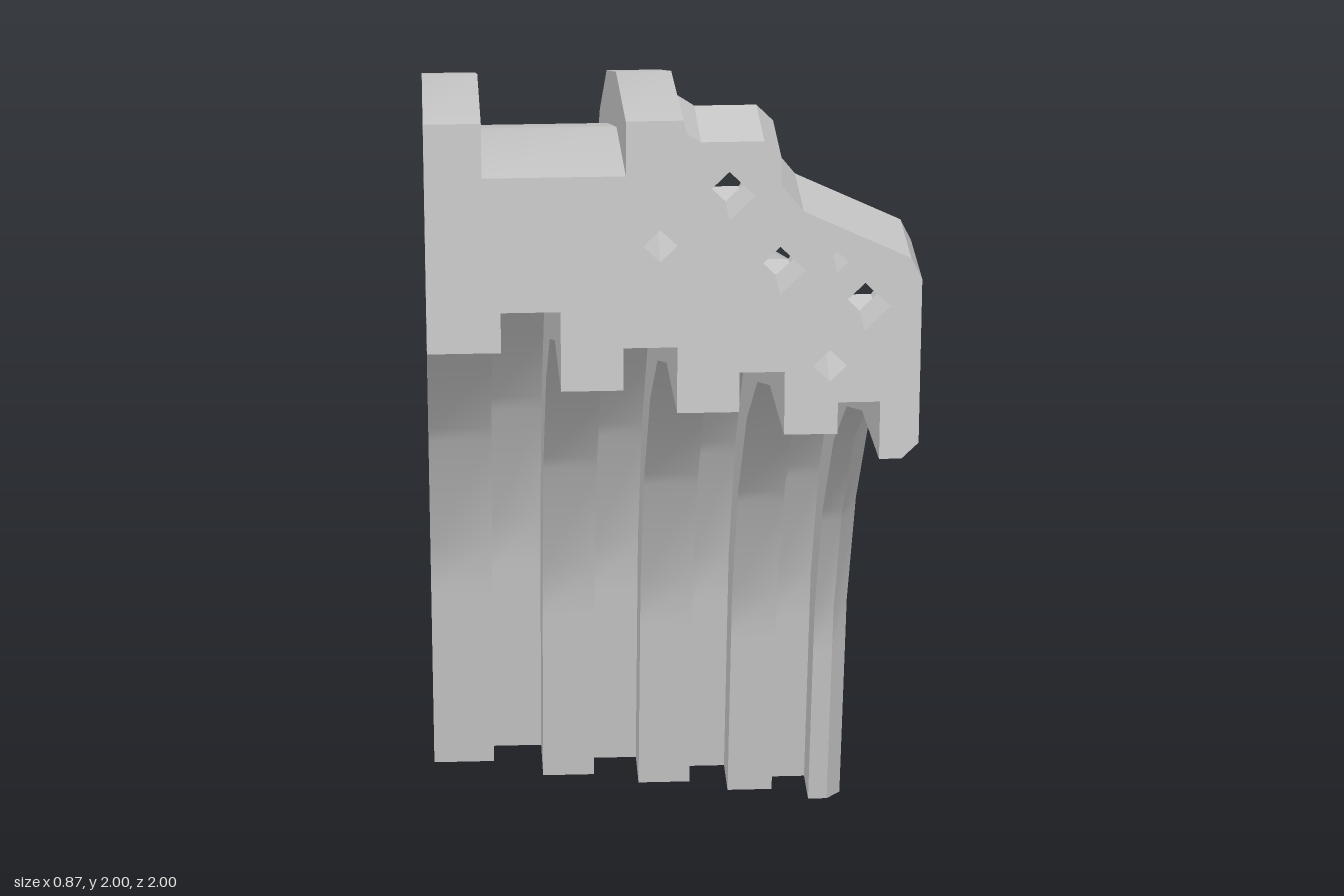
import * as THREE from 'three';
import { toCreasedNormals } from 'three/addons/utils/BufferGeometryUtils.js';

const mat = new THREE.MeshStandardMaterial({ color: 0xcccccc, side: THREE.DoubleSide });
const rad = THREE.MathUtils.degToRad;

function add(group, name, geometry) {
  const mesh = new THREE.Mesh(geometry, mat);
  mesh.name = name;
  group.add(mesh);
  return mesh;
}

const toShape = (pts) => new THREE.Shape(pts.map(([x, y]) => new THREE.Vector2(x, y)));

// Regular polygon hole: 4 sides give a diamond, 6 a hexagon
function polyHole(x, y, r, sides = 4) {
  const pts = [];
  for (let i = 0; i < sides; i++) {
    const a = -i / sides * Math.PI * 2;
    pts.push(new THREE.Vector2(x + r * Math.cos(a), y + r * Math.sin(a)));
  }
  return new THREE.Path(pts);
}

function plate(pts, depth, holes = []) {
  const shape = toShape(pts);
  shape.holes.push(...holes);
  return new THREE.ExtrudeGeometry(shape, { depth, bevelEnabled: false });
}

// Cross-section of the arch as (x, radius): toothed inside, fairing, channelled rail outside
const teeth = [
  [-0.44, 1.575], [-0.31, 1.575], [-0.31, 1.65], [-0.205, 1.65], [-0.205, 1.5], [-0.095, 1.5],
  [-0.095, 1.58], [0, 1.58], [0, 1.455], [0.11, 1.455], [0.11, 1.53], [0.19, 1.53],
  [0.19, 1.41], [0.285, 1.41], [0.285, 1.47], [0.36, 1.47], [0.36, 1.36], [0.4, 1.36], [0.43, 1.39],
];
const fairingEnd = [[0.43, 1.51], [0.4, 1.56], [0.24, 1.63], [0.09, 1.68], [0.03, 1.78], [0.02, 1.95]];
const fairingMid = [[0.43, 1.48], [0.38, 1.55], [0.2, 1.67], [0.11, 1.78], [0.06, 1.9], [0.02, 1.97]];
const rail = [[0.01, 2], [-0.09, 2], [-0.09, 1.9], [-0.34, 1.9], [-0.34, 2], [-0.44, 2]];

function section(deg) {
  const k = Math.sin(rad(2 * deg));
  const fairing = fairingEnd.map(([x, r], i) => [
    x + (fairingMid[i][0] - x) * k, r + (fairingMid[i][1] - r) * k]);
  return [...teeth, ...fairing, ...rail];
}

// Facets of the arc, inside and outside
const innerBreaks = [0, 14, 27.5, 41, 55, 69, 90];
const outerBreaks = [0, 11.5, 24, 35, 45.5, 56.5, 73.5, 90];
function chordFactor(deg, breaks) {
  let i = 0;
  while (i < breaks.length - 2 && deg > breaks[i + 1]) i++;
  const mid = (breaks[i] + breaks[i + 1]) / 2, half = (breaks[i + 1] - breaks[i]) / 2;
  return Math.cos(rad(half)) / Math.cos(rad(deg - mid));
}

function archGeometry() {
  const angles = [...new Set([...innerBreaks, ...outerBreaks])].sort((a, b) => a - b);
  const n = section(0).length, pos = [], index = [];
  angles.forEach((deg, s) => {
    section(deg).forEach(([x, r], i) => {
      const q = r * chordFactor(deg, i < teeth.length ? innerBreaks : outerBreaks);
      pos.push(x, q * Math.cos(rad(deg)), 1 - q * Math.sin(rad(deg)));
      if (s === angles.length - 1) return;
      const a = s * n + i, b = s * n + (i + 1) % n;
      index.push(a, a + n, b, b, a + n, b + n);
    });
  });
  const g = new THREE.BufferGeometry();
  g.setAttribute('position', new THREE.Float32BufferAttribute(pos, 3));
  g.setIndex(index);
  return toCreasedNormals(g, 0.6);
}

export function createModel() {
  const group = new THREE.Group();
  group.name = 'archBracket';

  // Swept arch with its two end faces
  add(group, 'arch', archGeometry());
  const blind = [[-0.03, 1.77, 0.03], [0.27, 1.54, 0.03]];
  const front = toShape(section(0));
  front.holes.push(...blind.map((h) => polyHole(...h)));
  add(group, 'frontEndFace', new THREE.ShapeGeometry(front).translate(0, 0, 1));
  add(group, 'footEndFace',
    new THREE.ShapeGeometry(toShape(section(90))).rotateX(-Math.PI / 2).translate(0, 0, 1));
  for (const [x, y, r] of blind) {
    const cone = new THREE.ConeGeometry(r, 0.1, 4, 1, true).rotateX(-Math.PI / 2);
    add(group, 'blindHole', toCreasedNormals(cone, 0.3).translate(x, y, 0.95));
  }

  // Mounting block at the front: diamond bolt holes, hexagonal nut pockets behind
  const outline = [
    [0, 1.57], [0.2, 1.57], [0.2, 1.5], [0.43, 1.5], [0.43, 1.7], [0.41, 1.74], [0.22, 1.83],
    [0.18, 1.88], [0.18, 1.93], [0.15, 1.96], [0.04, 1.96], [0.01, 1.98], [0, 1.98],
  ];
  const bolts = [[0.09, 1.86], [0.18, 1.72], [0.33, 1.65]];
  const pin = [0.28, 1.735, 0.02];
  add(group, 'mountFront', plate(outline, 0.1, [
    ...bolts.map(([x, y]) => polyHole(x, y, 0.045)), polyHole(...pin), polyHole(...blind[1]),
  ]).translate(0, 0, 0.9));
  add(group, 'mountNutPockets', plate(outline, 0.1, [
    ...bolts.map(([x, y]) => polyHole(x, y, 0.06, 6)), polyHole(...pin),
  ]).translate(0, 0, 0.8));

  // Thickened pad on the rail side, drawn as (-z, y)
  const pad = plate([[0.66, 0], [0.995, 0], [0.965, 0.35], [0.92, 0.54], [0.64, 0.46]], 0.08);
  add(group, 'sidePad', pad.rotateY(Math.PI / 2));

  // Flat seat with a diamond hole on the outside of the rail
  const seat = plate([[-0.085, -0.1], [0.08, -0.1], [0.08, 0.1], [-0.085, 0.1]], 0.03,
    [polyHole(0, 0, 0.04)]);
  const seatMesh = add(group, 'railSeat', seat);
  const t = rad(81.4);
  seatMesh.rotation.x = Math.PI / 2 - t;
  seatMesh.position.set(0, 1.992 * Math.cos(t), 1 - 1.992 * Math.sin(t));

  // Foot tab, drawn as (x, -z)
  const tab = plate([
    [0.2, 0.5], [0.43, 0.5], [0.43, 0.8], [0.41, 0.82], [0.29, 0.82], [0.265, 0.8],
    [0.265, 0.69], [0.24, 0.66], [0.2, 0.64],
  ], 0.03, [polyHole(0.35, 0.74, 0.03)]);
  add(group, 'footTab', tab.rotateX(-Math.PI / 2));

  return group;
}
